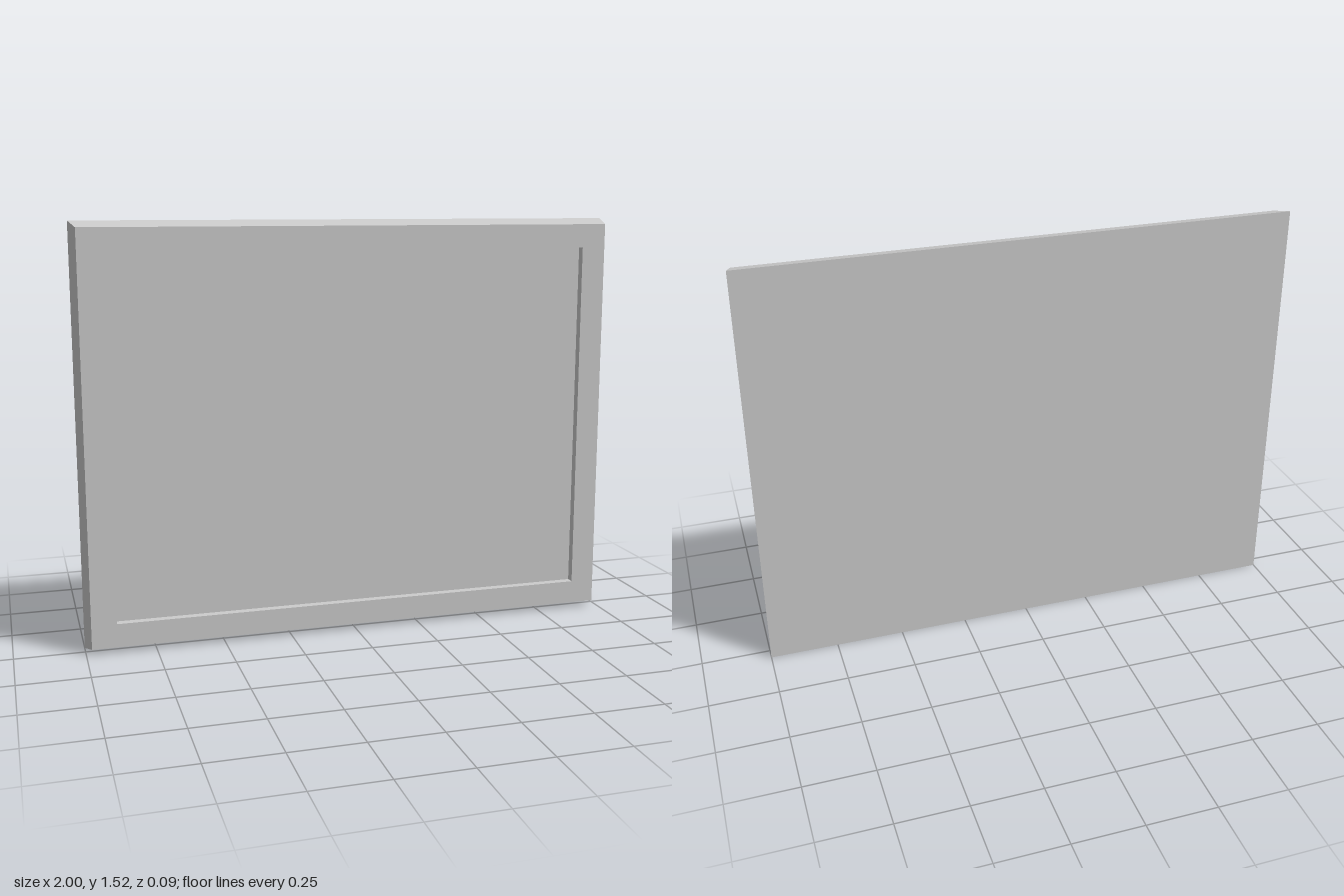
import * as THREE from 'three';

const CENTER_Y = 0.7625;
const FRONT = 0.0425;
const FLOOR = 0.0125;

// Skins a series of concentric rectangles [halfWidth, halfHeight, z], ordered outside to inside
function rectLoft(rings) {
  const corners = rings.map(([w, h, z]) => [[-w, -h, z], [w, -h, z], [w, h, z], [-w, h, z]]);
  const pos = [];
  const quad = (a, b, c, d) => pos.push(...a, ...b, ...c, ...a, ...c, ...d);
  for (let r = 0; r < rings.length - 1; r++) {
    for (let i = 0; i < 4; i++) {
      const j = (i + 1) % 4;
      quad(corners[r][i], corners[r][j], corners[r + 1][j], corners[r + 1][i]);
    }
  }
  const geo = new THREE.BufferGeometry();
  geo.setAttribute('position', new THREE.Float32BufferAttribute(pos, 3));
  geo.computeVertexNormals();
  return geo;
}

export function createModel() {
  const group = new THREE.Group();
  group.name = 'pictureFrame';
  const material = new THREE.MeshStandardMaterial({ color: 0xcccccc, flatShading: true });

  const add = (name, geometry, z = 0) => {
    const mesh = new THREE.Mesh(geometry, material);
    mesh.name = name;
    mesh.position.set(0, CENTER_Y, z);
    group.add(mesh);
    return mesh;
  };

  // Frame: tapered outer sides, flat face, straight step down into the recess
  add('frame', rectLoft([
    [1, 0.7625, -FRONT],
    [0.98, 0.7415, FRONT],
    [0.89, 0.655, FRONT],
    [0.89, 0.655, FLOOR],
  ]));

  // Backing sheet behind the frame
  add('back', new THREE.PlaneGeometry(2, 1.525), -FRONT).rotation.y = Math.PI;

  // Mat board on the recess floor
  add('mat', new THREE.PlaneGeometry(1.78, 1.31), FLOOR);

  // Thin picture sheet held level with the frame face
  const picture = add('picture', new THREE.PlaneGeometry(1.63, 1.182), FRONT - 0.001);
  picture.material = material.clone();
  picture.material.side = THREE.DoubleSide;

  return group;
}
